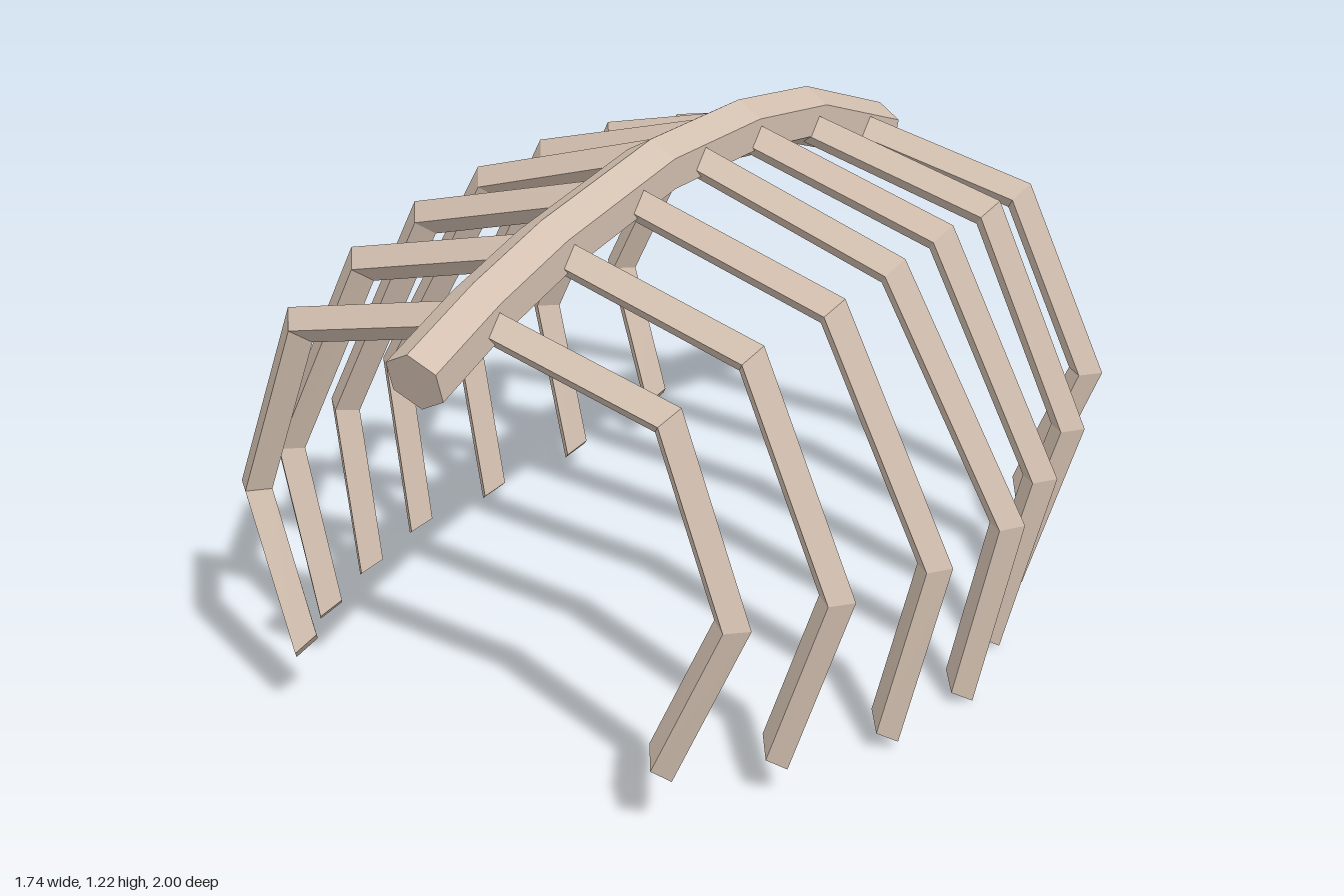
import * as THREE from 'three';

const bone = new THREE.MeshStandardMaterial({ color: 0xd3c0b0, flatShading: true });

// Sweeps a regular polygon along a bent path with mitred joints and closed ends.
// `side` is the fixed sideways axis of the cross-section; `shear` slants the last cut.
function sweep(path, side, sides, radius, shear = 0) {
  const last = path.length - 1;
  const dir = (i) => path[i + 1].clone().sub(path[i]).normalize();
  const rings = path.map((p, i) => {
    const a = dir(Math.max(i - 1, 0));
    const t = a.clone().add(dir(Math.min(i, last - 1))).normalize();
    const normal = t.clone().cross(side).normalize().divideScalar(t.dot(a));
    if (i === last) normal.addScaledVector(t, shear);
    return Array.from({ length: sides }, (_, j) => {
      const angle = Math.PI / 2 + (j / sides) * Math.PI * 2;
      return p.clone()
        .addScaledVector(side, Math.cos(angle) * radius)
        .addScaledVector(normal, Math.sin(angle) * radius);
    });
  });
  const corners = [];
  for (let i = 0; i < last; i++) {
    for (let j = 0; j < sides; j++) {
      const k = (j + 1) % sides;
      const [a, b, c, d] = [rings[i][j], rings[i][k], rings[i + 1][k], rings[i + 1][j]];
      corners.push(a, b, c, a, c, d);
    }
  }
  for (let j = 1; j < sides - 1; j++) {
    corners.push(rings[0][0], rings[0][j + 1], rings[0][j]);
    corners.push(rings[last][0], rings[last][j], rings[last][j + 1]);
  }
  const geometry = new THREE.BufferGeometry().setFromPoints(corners);
  geometry.computeVertexNormals();
  return geometry;
}

function addMesh(group, name, geometry) {
  const mesh = new THREE.Mesh(geometry, bone);
  mesh.name = name;
  group.add(mesh);
}

export function createModel() {
  const model = new THREE.Group();
  model.name = 'ribCage';

  // Arched hexagonal spine, front to back: [z, y]
  const spine = [
    [0.985, 0.995], [0.76, 1.065], [0.52, 1.117], [0.1, 1.165],
    [-0.27, 1.147], [-0.585, 1.09], [-0.97, 0.94],
  ].map(([z, y]) => new THREE.Vector3(0, y, z));
  addMesh(model, 'spine', sweep(spine, new THREE.Vector3(1, 0, 0), 6, 0.07));

  // Rib centre lines, front to back: root [y, z], then elbow, knee and tip [x, y, z]
  const ribs = [
    [[1.055, 0.775], [0.455, 0.94, 0.775], [0.605, 0.525, 0.775], [0.46, 0.18, 0.815]],
    [[1.11, 0.5], [0.49, 0.98, 0.51], [0.71, 0.5, 0.53], [0.59, 0.115, 0.565]],
    [[1.145, 0.23], [0.525, 0.99, 0.23], [0.785, 0.46, 0.23], [0.7, 0.06, 0.27]],
    [[1.165, -0.03], [0.533, 0.992, -0.03], [0.83, 0.455, -0.035], [0.75, 0.04, 0]],
    [[1.14, -0.28], [0.525, 0.985, -0.28], [0.795, 0.455, -0.285], [0.7, 0.045, -0.25]],
    [[1.08, -0.56], [0.51, 0.95, -0.56], [0.74, 0.455, -0.565], [0.63, 0.065, -0.53]],
    [[1.0, -0.825], [0.47, 0.9, -0.825], [0.67, 0.485, -0.825], [0.54, 0.135, -0.785]],
  ];
  const across = new THREE.Vector3(0, 0, 1);
  ribs.forEach(([root, ...joints], i) => {
    for (const s of [1, -1]) {
      const path = [[0, ...root], ...joints].map(([x, y, z]) => new THREE.Vector3(s * x, y, z));
      // Diamond section; the tip is cut so its outer edge hangs lowest
      addMesh(model, `${s > 0 ? 'left' : 'right'}Rib${i + 1}`, sweep(path, across, 4, 0.04, -s * 0.55));
    }
  });
  return model;
}
